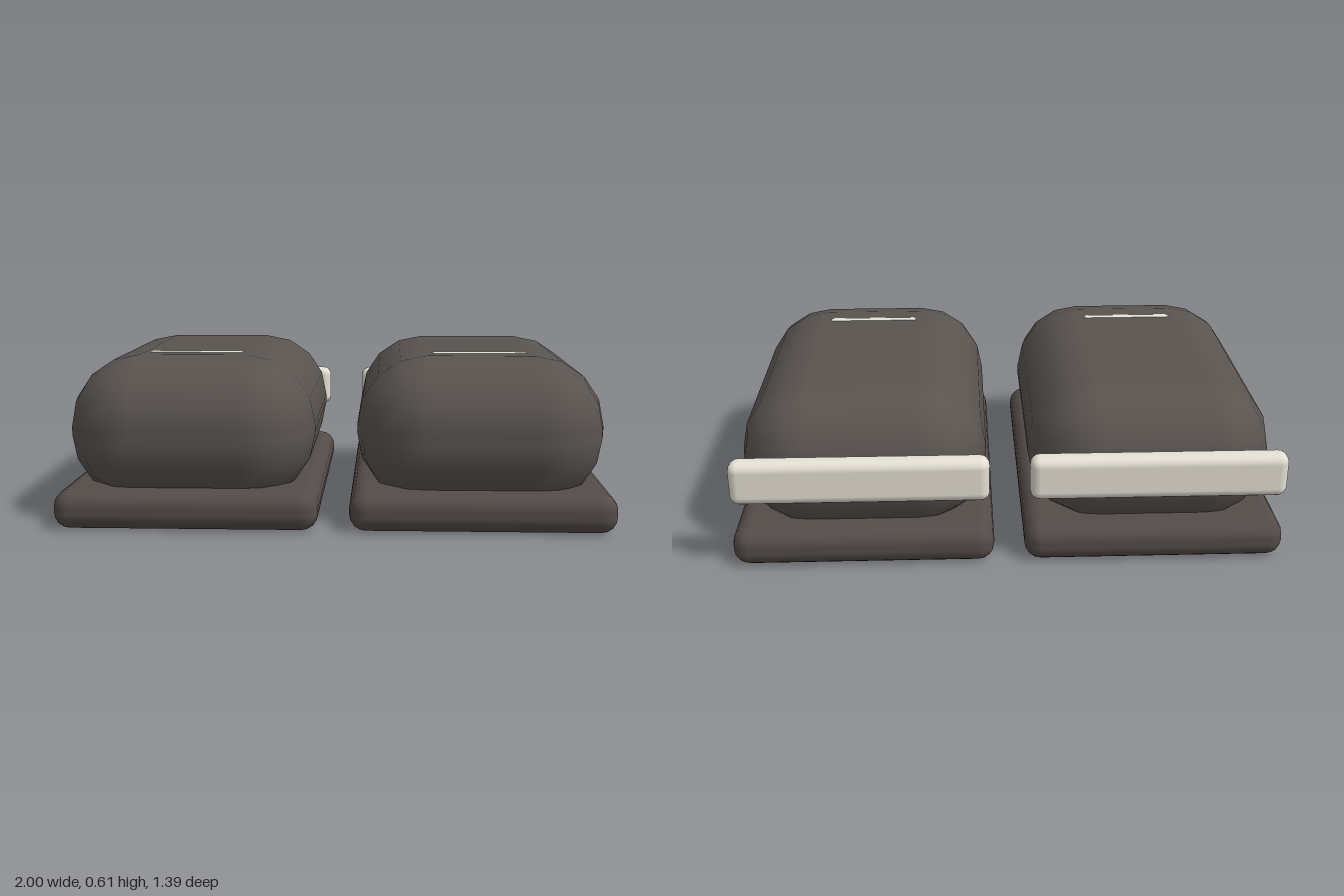
import * as THREE from 'three';

const upperMaterial = new THREE.MeshStandardMaterial({ color: 0x5a5450 });
const soleMaterial = new THREE.MeshStandardMaterial({ color: 0x544c49 });
const paleMaterial = new THREE.MeshStandardMaterial({ color: 0xe6e1d6 });

// Box with every edge rounded by a four-step arc, spanning the given min and max corners
function roundedBlock(name, min, max, radius, material) {
  const geometry = new THREE.BoxGeometry(1, 1, 1, 5, 5, 5);
  const { position, normal } = geometry.attributes;
  const n = new THREE.Vector3();
  const lo = new THREE.Vector3(...min);
  const hi = new THREE.Vector3(...max);
  const core = hi.clone().sub(lo).multiplyScalar(0.5).subScalar(radius);
  // Grid lines at 0.1, 0.3 and 0.5 become 0, 22.5 and 45 degrees
  const spread = (u) => Math.sign(u) * Math.tan(((Math.abs(u) - 0.1) / 0.4) * Math.PI / 4);
  for (let i = 0; i < position.count; i++) {
    const p = [position.getX(i), position.getY(i), position.getZ(i)];
    n.set(...p.map(spread)).normalize();
    const at = (k, size) => Math.sign(p[k]) * size + n.getComponent(k) * radius;
    position.setXYZ(i, at(0, core.x), at(1, core.y), at(2, core.z));
    normal.setXYZ(i, n.x, n.y, n.z);
  }
  const mesh = new THREE.Mesh(geometry, material);
  mesh.name = name;
  mesh.position.copy(lo).add(hi).multiplyScalar(0.5);
  return mesh;
}

// One shoe, centred on its own x axis
function createShoe(name) {
  const shoe = new THREE.Group();
  shoe.name = name;
  shoe.add(
    roundedBlock('sole', [-0.4725, 0, -0.665], [0.4725, 0.14, 0.693], 0.06, soleMaterial),
    roundedBlock('upper', [-0.45, 0.06, -0.625], [0.45, 0.6, 0.67], 0.255, upperMaterial),
    roundedBlock('heelBar', [-0.457, 0.267, -0.693], [0.457, 0.431, -0.608], 0.035, paleMaterial),
    roundedBlock('toeStripe', [-0.18, 0.575, 0.3], [0.18, 0.605, 0.336], 0.0145, paleMaterial)
  );
  return shoe;
}

export function createModel() {
  const model = new THREE.Group();
  model.name = 'pairOfShoes';
  for (const [name, side] of [['leftShoe', 1], ['rightShoe', -1]]) {
    const shoe = createShoe(name);
    shoe.position.x = side * 0.5275;
    model.add(shoe);
  }
  return model;
}
